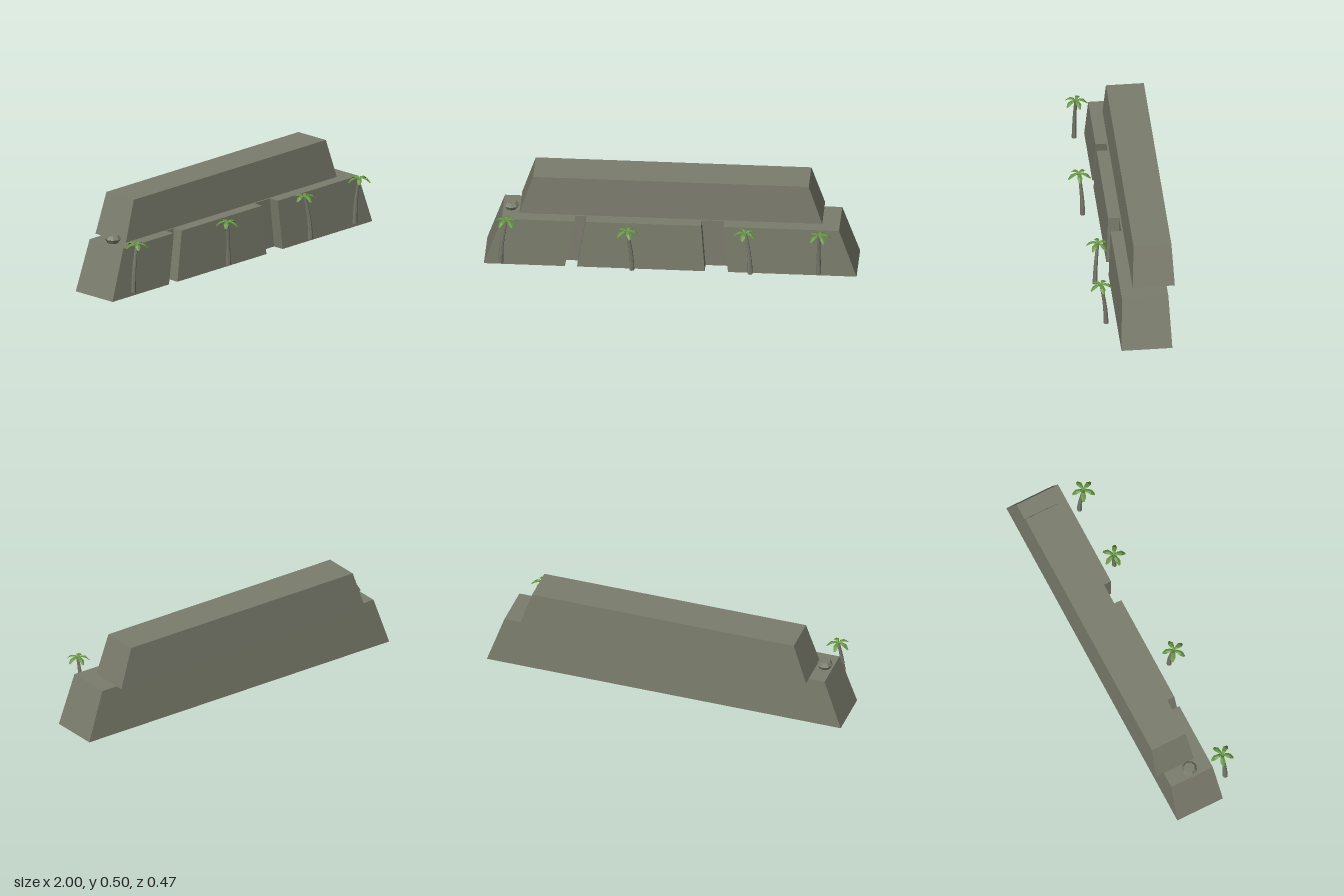
import * as THREE from 'three';
import { mergeGeometries } from 'three/addons/utils/BufferGeometryUtils.js';

const material = (name, color, extra = {}) => {
  const m = new THREE.MeshStandardMaterial({ color, ...extra });
  m.name = name;
  return m;
};

function geometryFrom(positions) {
  const g = new THREE.BufferGeometry();
  g.setAttribute('position', new THREE.Float32BufferAttribute(positions, 3));
  g.computeVertexNormals();
  return g;
}

// Closed solid between two matching [x, z] outlines, listed from front left to front right and round the back
function taperedBlock(bottom, top, y0, y1) {
  const out = [];
  const put = (p, y) => out.push(p[0], y, p[1]);
  bottom.forEach((b, i) => {
    const j = (i + 1) % bottom.length;
    put(b, y0); put(bottom[j], y0); put(top[j], y1);
    put(b, y0); put(top[j], y1); put(top[i], y1);
  });
  const cap = (ring) => THREE.ShapeUtils.triangulateShape(ring.map(([x, z]) => new THREE.Vector2(x, -z)), []);
  for (const [a, b, c] of cap(top)) [a, b, c].forEach((k) => put(top[k], y1));
  for (const [a, b, c] of cap(bottom)) [a, c, b].forEach((k) => put(bottom[k], y0));
  return geometryFrom(out);
}

// Outline of the lower storey, with two recesses cut into the front
const storeyOutline = (half, front, back, recess, [a, b, c, d]) => [
  [-half, front], [a, front], [a, recess], [b, recess], [b, front],
  [c, front], [c, recess], [d, recess], [d, front], [half, front],
  [half, back], [-half, back],
];

const boxOutline = (x0, x1, front, back) => [[x0, front], [x1, front], [x1, back], [x0, back]];

// One arched frond with a raised midrib, pointing along +x
function frondGeometry() {
  const rows = [[0, 0.002, 0.004], [0.02, 0.014, 0.010], [0.043, 0.009, 0.014], [0.063, -0.013, 0.005]];
  const out = [];
  const at = ([x, y, w], side) => [x, y - Math.abs(side) * w * 0.4, side * w];
  for (let i = 0; i < rows.length - 1; i++) {
    for (const s of [-1, 0]) {
      const a = at(rows[i], s), b = at(rows[i], s + 1);
      const c = at(rows[i + 1], s + 1), d = at(rows[i + 1], s);
      out.push(...a, ...b, ...c, ...a, ...c, ...d);
    }
  }
  return geometryFrom(out);
}

function createPalm([bx, bz, tx, tz, height, spin], bark, leaf) {
  const palm = new THREE.Group();
  palm.name = 'palmTree';
  palm.position.set(bx, 0.047, bz);
  const dx = tx - bx, dz = tz - bz;

  // Trunk leans in a gentle curve
  const trunkGeo = new THREE.CylinderGeometry(0.008, 0.014, height, 7, 5).translate(0, height / 2, 0);
  const p = trunkGeo.attributes.position;
  for (let i = 0; i < p.count; i++) {
    const t = p.getY(i) / height;
    p.setX(i, p.getX(i) + dx * t * t);
    p.setZ(i, p.getZ(i) + dz * t * t);
  }
  trunkGeo.computeVertexNormals();
  const trunk = new THREE.Mesh(trunkGeo, bark);
  trunk.name = 'palmTrunk';

  // Crown of five fronds
  const fronds = [];
  for (let i = 0; i < 5; i++) fronds.push(frondGeometry().rotateY(spin + (i * Math.PI * 2) / 5));
  const crown = new THREE.Mesh(mergeGeometries(fronds), leaf);
  crown.name = 'palmCrown';
  crown.position.set(dx, height, dz);

  palm.add(trunk, crown);
  return palm;
}

export function createModel() {
  const stone = material('stone', 0x7a7c6c, { flatShading: true });
  const bark = material('bark', 0x76776a, { flatShading: true });
  const leaf = material('palmLeaf', 0x659440, { flatShading: true, side: THREE.DoubleSide });

  const model = new THREE.Group();
  model.name = 'terracedBuilding';
  const add = (name, geometry, mat) => {
    const mesh = new THREE.Mesh(geometry, mat);
    mesh.name = name;
    model.add(mesh);
    return mesh;
  };

  add('lowerStorey', taperedBlock(
    storeyOutline(1, 0.067, -0.207, 0.003, [-0.565, -0.5, 0.185, 0.31]),
    storeyOutline(0.905, 0.055, -0.195, -0.004, [-0.515, -0.455, 0.165, 0.285]),
    0, 0.274), stone);

  add('upperStorey', taperedBlock(
    boxOutline(-0.815, 0.81, -0.013, -0.239),
    boxOutline(-0.742, 0.737, -0.024, -0.228),
    0.274, 0.495), stone);

  // Small faceted drum on the terrace
  const drum = [[0, 0], [0.03, 0], [0.043, 0.022], [0.03, 0.042], [0, 0.042]].map(([r, y]) => new THREE.Vector2(r, y));
  add('terraceDrum', new THREE.LatheGeometry(drum, 8), stone).position.set(-0.862, 0.274, -0.064);

  // Palms: base x, base z, crown x, crown z, trunk height, crown turn
  const palms = [
    [-0.905, 0.13, -0.875, 0.125, 0.258, 0.3],
    [-0.2, 0.155, -0.225, 0.172, 0.244, 0.0],
    [0.435, 0.152, 0.408, 0.135, 0.238, 0.7],
    [0.8, 0.13, 0.806, 0.158, 0.252, 0.15],
  ];
  for (const spec of palms) model.add(createPalm(spec, bark, leaf));

  return model;
}
